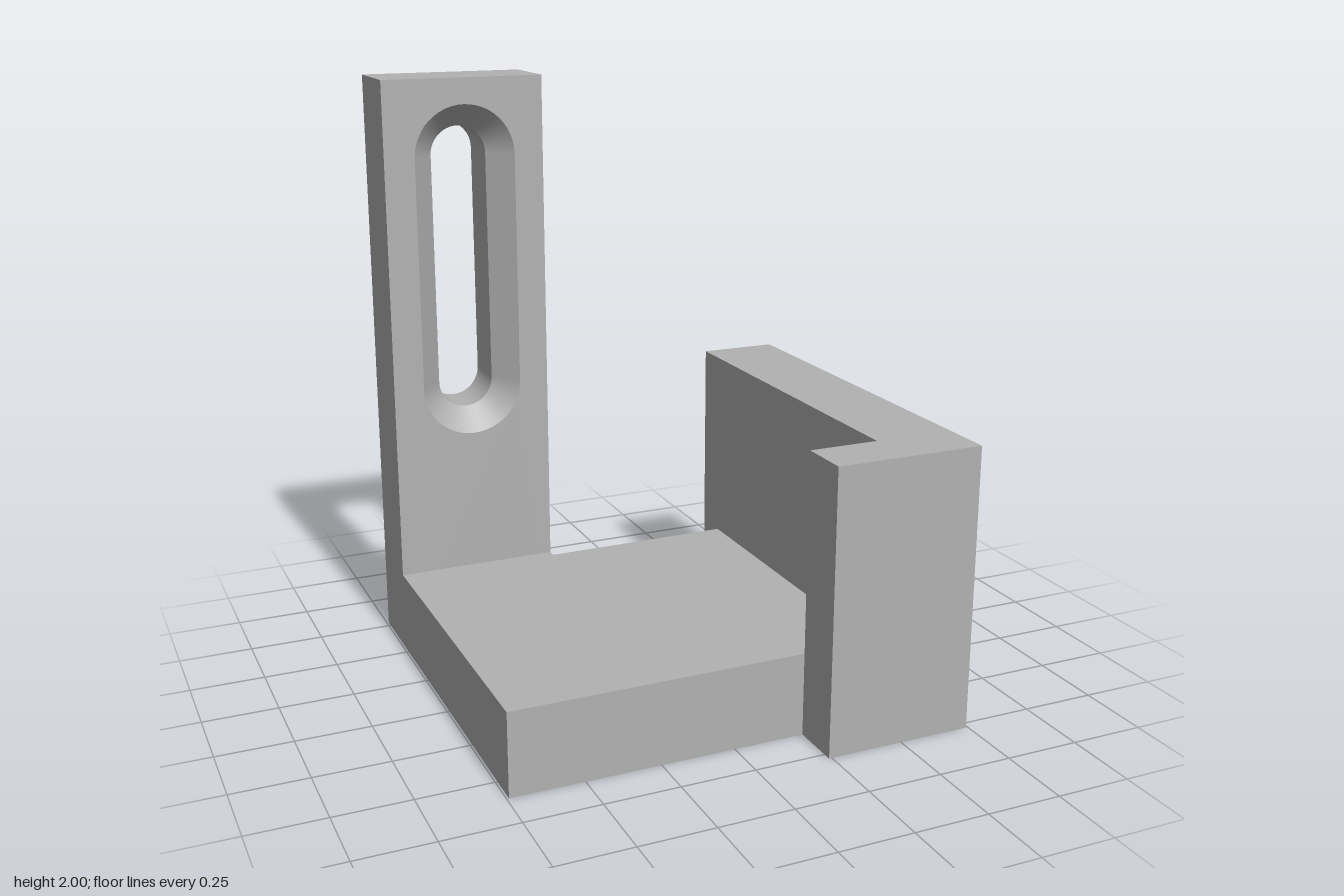
import * as THREE from 'three';

const grey = new THREE.MeshStandardMaterial({ color: 0xb2b2b2 });
grey.name = 'grey';

// Ring of surface between two matching closed loops of [x, y], at depths za and zb
function loft(a, b, za, zb) {
  const n = a.length, pos = [], idx = [];
  a.forEach(([x, y]) => pos.push(x, y, za));
  b.forEach(([x, y]) => pos.push(x, y, zb));
  for (let i = 0; i < n; i++) {
    const j = (i + 1) % n;
    idx.push(i, j, n + j, i, n + j, n + i);
  }
  const g = new THREE.BufferGeometry();
  g.setAttribute('position', new THREE.Float32BufferAttribute(pos, 3));
  g.setIndex(idx);
  g.computeVertexNormals();
  return g;
}

// Clockwise slot outline: two half circles joined by straight sides
function slotLoop(r, cx = -0.465, y0 = 0.945, y1 = 1.738, steps = 24) {
  const pts = [];
  for (const [cy, start] of [[y1, Math.PI], [y0, 0]]) {
    for (let i = 0; i <= steps; i++) {
      const t = start - (i / steps) * Math.PI;
      pts.push([cx + r * Math.cos(t), cy + r * Math.sin(t)]);
    }
  }
  return pts;
}

// Upright prism over a floor plan given as [x, z]
function prism(plan, height) {
  const shape = new THREE.Shape(plan.map(([x, z]) => new THREE.Vector2(x, -z)));
  return new THREE.ExtrudeGeometry(shape, { depth: height, bevelEnabled: false }).rotateX(-Math.PI / 2);
}

const toVectors = (loop) => loop.map(([x, y]) => new THREE.Vector2(x, y));

// Flat face of the post with a slot cut out
function slottedFace(outline, slot) {
  const shape = new THREE.Shape(toVectors(outline));
  shape.holes.push(new THREE.Path(toVectors(slot)));
  return new THREE.ShapeGeometry(shape);
}

export function createModel() {
  const model = new THREE.Group();
  const add = (parent, name, geometry) => {
    const mesh = new THREE.Mesh(geometry, grey);
    mesh.name = name;
    parent.add(mesh);
    return mesh;
  };

  const L = -0.743, R = 0.743, postR = -0.19, wallL = 0.475;
  const back = -0.778, postFront = -0.533, baseFront = 0.607;

  // Base plate, reaching the foot of the post
  add(model, 'basePlate', prism([
    [L, baseFront], [wallL, baseFront], [wallL, -0.503],
    [postR, -0.503], [postR, postFront], [L, postFront],
  ], 0.28));

  // L-shaped side wall wrapping the front corner
  add(model, 'sideWall', prism([
    [0.24, 0.778], [R, 0.778], [R, -0.62],
    [wallL, -0.62], [wallL, baseFront], [0.24, baseFront],
  ], 0.95));

  // Slotted post with a countersunk front
  const post = new THREE.Group();
  post.name = 'slottedPost';
  model.add(post);
  const outline = [[L, 0], [postR, 0], [postR, 2], [L, 2]];
  const inner = slotLoop(0.096), outer = slotLoop(0.174);
  const sinkZ = postFront - 0.083;
  add(post, 'postFrontFace', slottedFace(outline, outer).translate(0, 0, postFront));

  // Back face, mirrored in x and turned round to face -z
  const flip = (loop) => loop.map(([x, y]) => [-x, y]).reverse();
  add(post, 'postBackFace',
    slottedFace(flip(outline), flip(inner)).rotateY(Math.PI).translate(0, 0, back));

  const sides = loft(outline, outline, back, postFront).toNonIndexed();
  sides.computeVertexNormals();
  add(post, 'postSides', sides);
  add(post, 'slotWall', loft(inner, inner, back, sinkZ));
  add(post, 'slotCountersink', loft(inner, outer, sinkZ, postFront));

  return model;
}
